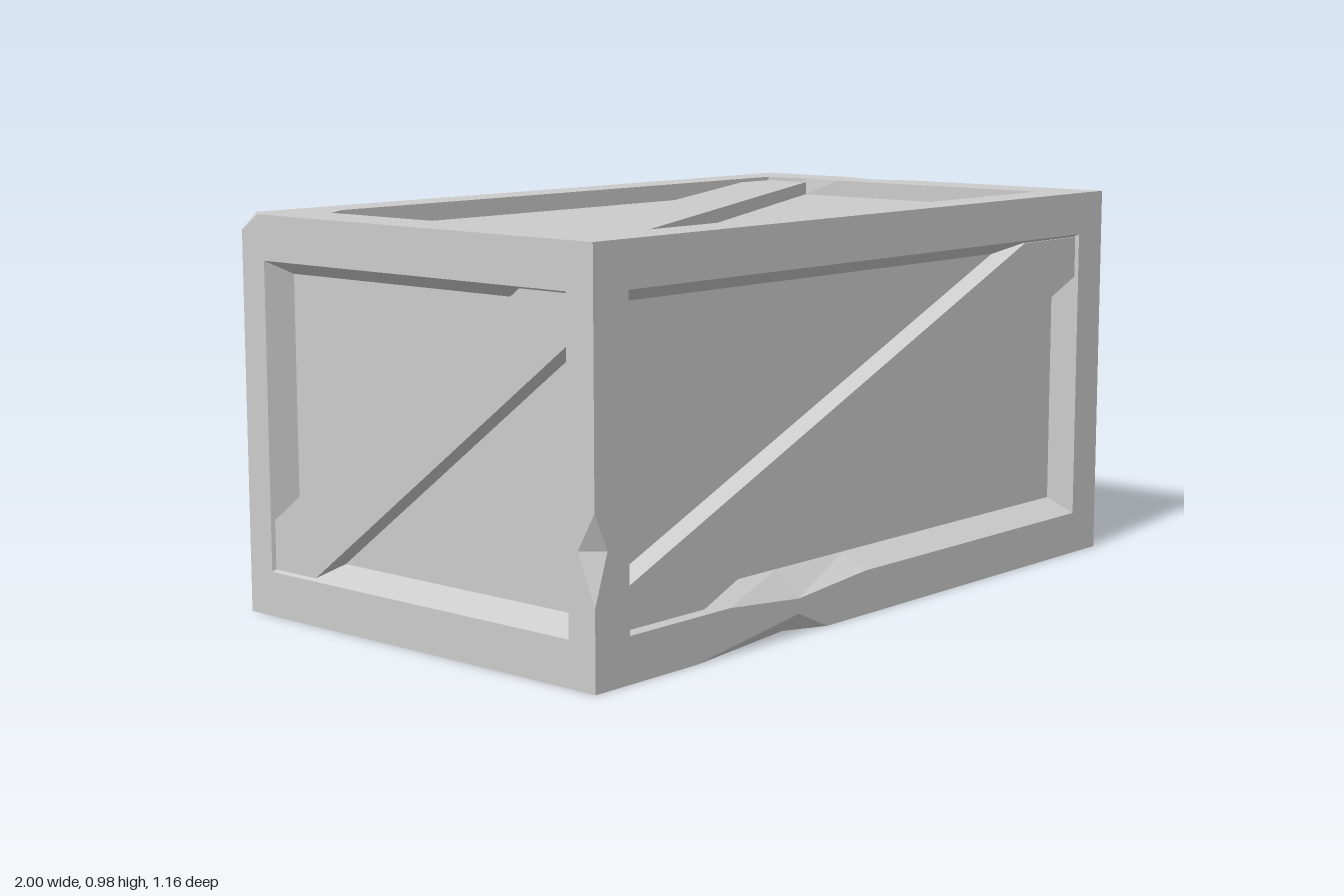
import * as THREE from 'three';

const W = 1, H = 0.98, D = 0.58; // half width, height, half depth
const material = new THREE.MeshStandardMaterial({ color: 0xcccccc, flatShading: true });
const vectors = (points) => points.map(([u, v]) => new THREE.Vector2(u, v));

function addMesh(parent, name, geometry) {
  const mesh = new THREE.Mesh(geometry, material);
  mesh.name = name;
  parent.add(mesh);
  return mesh;
}

function fromTriangles(points) {
  const geometry = new THREE.BufferGeometry();
  geometry.setAttribute('position', new THREE.Float32BufferAttribute(points.flat(), 3));
  geometry.computeVertexNormals();
  return geometry;
}

// One crate side: frame, walls of the recess, sunken panel and diagonal brace.
// Points are (u, v) on the side, counter-clockwise; the outward normal is local z.
function crateSide({ name, basis, offset, outline, opening, inner, depth, brace }) {
  const side = new THREE.Group();
  side.name = name;

  const frame = new THREE.Shape(vectors(outline));
  frame.holes.push(new THREE.Path(vectors(opening)));
  addMesh(side, name + 'Frame', new THREE.ShapeGeometry(frame));

  const walls = [];
  opening.forEach((p, i) => {
    const j = (i + 1) % opening.length;
    const a = [...p, 0], b = [...opening[j], 0];
    const c = [...inner[j], -depth], d = [...inner[i], -depth];
    walls.push(a, b, c, a, c, d);
  });
  addMesh(side, name + 'RecessWalls', fromTriangles(walls));

  addMesh(side, name + 'Panel', new THREE.ShapeGeometry(new THREE.Shape(vectors(inner)))).position.z = -depth;

  if (brace) {
    const plank = new THREE.ExtrudeGeometry(new THREE.Shape(vectors(brace)), { depth: depth - 0.01, bevelEnabled: false });
    addMesh(side, name + 'Brace', plank).position.z = -depth;
  }

  const [u, v, n] = basis.map((axis) => new THREE.Vector3(...axis));
  side.quaternion.setFromRotationMatrix(new THREE.Matrix4().makeBasis(u, v, n));
  side.position.copy(n).multiplyScalar(offset);
  return side;
}

// Chipped surfaces, turned to face away from the crate's centre
function chip(...corners) {
  const [a, b, c] = corners.map((p) => new THREE.Vector3(...p));
  const normal = b.clone().sub(a).cross(c.clone().sub(a));
  const outward = a.clone().add(b).add(c).divideScalar(3).sub(new THREE.Vector3(0, H / 2, 0));
  return normal.dot(outward) < 0 ? [corners[0], corners[2], corners[1]] : corners;
}
const edgeChip = (start, end, p, q) => [...chip(start, p, q), ...chip(end, p, q)];

const rect = (u, v0, v1) => [[-u, v0], [u, v0], [u, v1], [-u, v1]];

export function createModel() {
  const crate = new THREE.Group();
  crate.name = 'crate';

  const longOpening = rect(0.89, 0.11, 0.87), longInner = rect(0.87, 0.148, 0.835);
  const longBrace = [[-0.89, 0.12], [-0.63, 0.12], [0.89, 0.757], [0.89, 0.862], [0.645, 0.862], [-0.89, 0.215]];
  const endOpening = rect(0.5, 0.11, 0.87), endInner = rect(0.475, 0.146, 0.835);
  const endBrace = [[-0.5, 0.115], [-0.35, 0.115], [0.5, 0.757], [0.5, 0.865], [0.35, 0.865], [-0.5, 0.235]];

  // Long sides
  crate.add(crateSide({
    name: 'front', basis: [[1, 0, 0], [0, 1, 0], [0, 0, 1]], offset: D, depth: 0.07,
    outline: [[-W, 0], [-0.67, 0], [-0.3, 0.05], [-0.19, 0], [W, 0], [W, H], [-W, H], [-W, 0.4], [-0.96, 0.31], [-W, 0.19]],
    opening: [[-0.89, 0.11], [-0.55, 0.11], [-0.3, 0.087], [-0.04, 0.11], ...longOpening.slice(1)],
    inner: [[-0.87, 0.148], [-0.55, 0.148], [-0.3, 0.148], [-0.04, 0.148], ...longInner.slice(1)],
    brace: longBrace,
  }));
  crate.add(crateSide({
    name: 'back', basis: [[-1, 0, 0], [0, 1, 0], [0, 0, -1]], offset: D, depth: 0.07,
    outline: [[-0.91, 0], [W, 0], [W, 0.94], [0.955, H], [-W, H], [-W, 0.075]],
    opening: longOpening, inner: longInner, brace: longBrace,
  }));

  // Short ends
  crate.add(crateSide({
    name: 'leftEnd', basis: [[0, 0, -1], [0, 1, 0], [1, 0, 0]], offset: W, depth: 0.07,
    outline: [[-D, 0], [0.54, 0], [D, 0.075], [D, H], [0.3, H], [0.13, 0.945], [0.04, H], [-D, H]],
    opening: endOpening, inner: endInner, brace: endBrace,
  }));
  crate.add(crateSide({
    name: 'rightEnd', basis: [[0, 0, 1], [0, 1, 0], [-1, 0, 0]], offset: W, depth: 0.07,
    outline: [[-D, 0], [D, 0], [D, 0.19], [0.53, 0.31], [D, 0.4], [D, H], [-0.52, H], [-D, 0.94]],
    opening: endOpening, inner: endInner, brace: endBrace,
  }));

  // Lid and base
  const lidEnd = [[0.855, 0.465], [-0.78, 0.465], [-0.855, 0.42]];
  const lid = crateSide({
    name: 'lid', basis: [[1, 0, 0], [0, 0, -1], [0, 1, 0]], offset: H, depth: 0.045,
    outline: [[-W, -D], [W, -D], [W, 0.04], [0.96, 0.16], [W, 0.3], [W, D], [-0.955, D], [-W, 0.52]],
    opening: [[-0.855, -0.465], [0.855, -0.465], [0.855, 0.21], [0.867, 0.33], [0.855, 0.39], ...lidEnd],
    inner: [[-0.855, -0.465], [0.855, -0.465], [0.855, 0.21], [0.86, 0.33], [0.855, 0.39], ...lidEnd],
    brace: [[-0.855, -0.465], [-0.77, -0.465], [0.86, 0.33], [0.855, 0.465], [0.73, 0.465], [-0.855, -0.3]],
  });
  crate.add(lid);
  crate.add(crateSide({
    name: 'base', basis: [[1, 0, 0], [0, 0, 1], [0, -1, 0]], offset: 0, depth: 0.055,
    outline: [[-W, -D], [0.91, -D], [W, -0.54], [W, D], [-0.19, D], [-0.3, 0.53], [-0.67, D], [-W, D]],
    opening: rect(0.855, -0.465, 0.465), inner: rect(0.855, -0.465, 0.465),
  }));

  // Chips along three edges and at two corners
  addMesh(crate, 'edgeChips', fromTriangles([
    ...edgeChip([-0.67, 0, D], [-0.19, 0, D], [-0.3, 0.05, D], [-0.3, 0, 0.53]),
    ...edgeChip([-W, 0.19, D], [-W, 0.4, D], [-0.96, 0.31, D], [-W, 0.31, 0.53]),
    ...edgeChip([W, H, -0.04], [W, H, -0.3], [0.96, H, -0.16], [W, 0.945, -0.13]),
  ]));
  addMesh(crate, 'cornerChips', fromTriangles([
    ...chip([0.91, 0, -D], [W, 0.075, -D], [W, 0, -0.54]),
    ...chip([-0.955, H, -D], [-W, 0.94, -D], [-W, H, -0.52]),
  ]));
  return crate;
}
